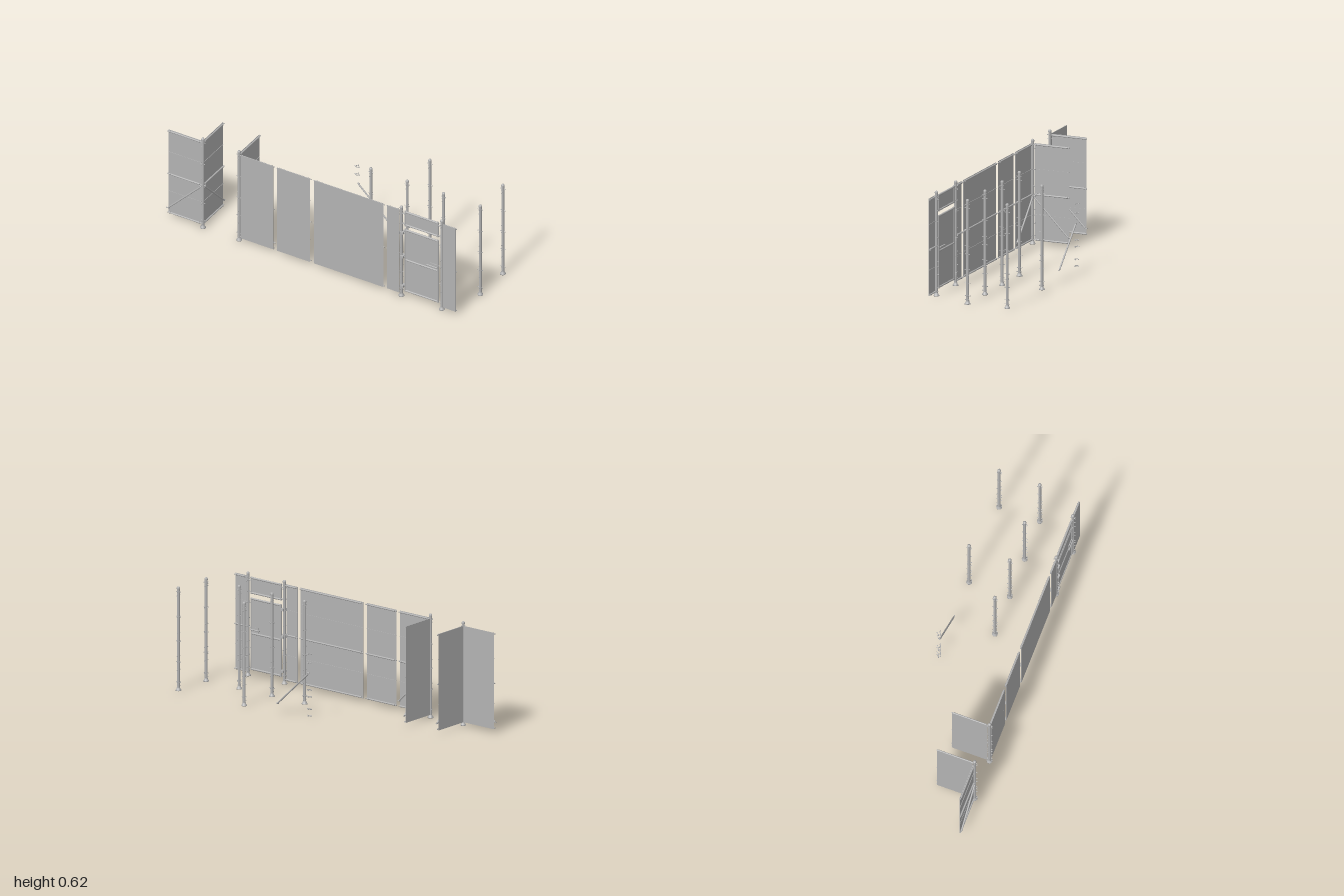
import * as THREE from 'three';

export function createModel() {
  const model = new THREE.Group();
  model.name = 'fenceKit';
  const steel = new THREE.MeshStandardMaterial({ color: 0xb3b3b3 });
  steel.name = 'galvanised grey';

  function add(parent, name, geometry, x = 0, y = 0, z = 0) {
    const mesh = new THREE.Mesh(geometry, steel);
    mesh.name = name;
    mesh.position.set(x, y, z);
    parent.add(mesh);
    return mesh;
  }
  const box = (parent, name, w, h, d, x, y, z) =>
    add(parent, name, new THREE.BoxGeometry(w, h, d), x, y, z);

  // Round bar between two points
  function bar(parent, name, a, b, r) {
    const start = new THREE.Vector3(...a), end = new THREE.Vector3(...b);
    const dir = end.clone().sub(start);
    const mesh = add(parent, name, new THREE.CylinderGeometry(r, r, dir.length(), 12));
    mesh.position.copy(start).add(end).multiplyScalar(0.5);
    mesh.quaternion.setFromUnitVectors(new THREE.Vector3(0, 1, 0), dir.normalize());
    return mesh;
  }
  function group(name, x, y, z) {
    const g = new THREE.Group();
    g.name = name;
    g.position.set(x, y, z);
    model.add(g);
    return g;
  }

  // Post with flared foot, domed cap and coupling pegs
  const postProfile = [
    [0, 0], [0.017, 0], [0.017, 0.004], [0.012, 0.01], [0.0095, 0.018], [0.0085, 0.019],
    [0.0085, 0.608], [0.0098, 0.609], [0.0098, 0.616], [0.007, 0.622], [0, 0.624],
  ].map(([r, y]) => new THREE.Vector2(r, y));
  const postGeometry = new THREE.LatheGeometry(postProfile, 20);
  const pegHeights = [0.026, 0.05, 0.125, 0.172, 0.205, 0.296, 0.345, 0.443, 0.57, 0.592];
  function post(x, z) {
    const g = group('post', x, 0, z);
    add(g, 'postTube', postGeometry);
    pegHeights.forEach((y, i) => {
      const r = 0.0022, l = 0.017;
      if (i % 2) bar(g, 'peg', [-l, y, 0], [l, y, 0], r);
      bar(g, 'peg', [0, y, i % 3 ? -l : -0.012], [0, y, l], r);
    });
  }
  [[-0.745, 0.245], [-0.5, 0.245], [0.595, 0.245], [0.868, 0.245],
    [0.24, 0], [0.485, 0], [0.73, 0], [0.978, 0], [0.485, -0.25], [0.978, -0.25],
  ].forEach(([x, z]) => post(x, z));

  // Diagonal brace with a small coupler at each end
  function brace(parent, x0, x1, z) {
    bar(parent, 'brace', [x0, 0.28, z], [x1, 0.062, z], 0.0048);
    bar(parent, 'braceCoupler', [x0 - 0.006, 0.285, z], [x0 + 0.006, 0.285, z], 0.004);
    bar(parent, 'braceCoupler', [x1 - 0.006, 0.06, z], [x1 + 0.012, 0.06, z], 0.003);
  }

  // Sheet bay running along local x, rails on the given side of the sheet
  function bay(x, z, length, turn, side, braced = false) {
    const g = group('sheetBay', x, 0, z);
    g.rotation.y = turn;
    box(g, 'sheet', length, 0.578, 0.002, length / 2, 0.309, -side * 0.005);
    for (const y of [0.027, 0.295, 0.591]) {
      bar(g, 'rail', [-0.004, y, 0], [length + 0.004, y, 0], 0.0035);
      bar(g, 'railSleeve', [0.01, y, 0], [length - 0.01, y, 0], 0.005);
      for (const e of [0.013, length - 0.013])
        bar(g, 'railCollar', [e - 0.004, y, 0], [e + 0.004, y, 0], 0.0062);
    }
    for (const y of [0.173, 0.445])
      box(g, 'sheetRib', length, 0.0025, 0.003, length / 2, y, -side * 0.003);
    if (braced) brace(g, 0.002, length - 0.004, side * 0.006);
  }
  bay(-0.757, 0.245, 0.222, Math.PI, -1, true);
  bay(-0.745, 0.234, 0.219, Math.PI / 2, 1, true);
  bay(-0.5, 0.234, 0.219, Math.PI / 2, 1, true);
  bay(-0.489, 0.245, 0.222, 0, -1, true);
  bay(-0.241, 0.245, 0.222, 0, -1);
  bay(0.008, 0.245, 0.468, 0, -1);
  bay(0.5, 0.245, 0.083, 0, -1);
  bay(0.88, 0.245, 0.085, 0, -1);

  // Framed panel of the gate and its header
  function framed(name, x0, x1, y0, y1) {
    const g = group(name, 0, 0, 0.245), r = 0.006;
    box(g, 'gateSheet', x1 - x0, y1 - y0, 0.002, (x0 + x1) / 2, (y0 + y1) / 2, 0);
    for (const x of [x0, x1]) bar(g, 'frameUpright', [x, y0 - r, 0], [x, y1 + r, 0], r);
    for (const y of [y0, y1]) bar(g, 'frameRail', [x0, y, 0], [x1, y, 0], r);
    return g;
  }
  const header = framed('gateHeader', 0.622, 0.842, 0.502, 0.591);
  const gate = framed('gate', 0.622, 0.842, 0.045, 0.466);
  bar(gate, 'gateMidRail', [0.622, 0.259, 0], [0.842, 0.259, 0], 0.006);

  // Hinges, header couplers and latch
  for (const y of [0.075, 0.28, 0.445]) {
    box(gate, 'hinge', 0.022, 0.014, 0.03, 0.604, y, 0.002);
    bar(gate, 'hingePin', [0.6, y, 0], [0.624, y, 0], 0.004);
  }
  for (const y of [0.507, 0.576]) {
    bar(header, 'headerCoupler', [0.595, y, 0], [0.622, y, 0], 0.004);
    bar(header, 'headerCoupler', [0.842, y, 0], [0.868, y, 0], 0.004);
    for (const x of [0.595, 0.868])
      bar(header, 'headerPin', [x, y, -0.012], [x, y, 0.015], 0.003);
  }
  box(gate, 'latchPlate', 0.05, 0.032, 0.008, 0.815, 0.284, 0.002);
  for (const z of [-0.011, 0.011])
    bar(gate, 'latchHandle', [0.772, 0.284, z], [0.842, 0.284, z], 0.004);
  bar(gate, 'latchBolt', [0.835, 0.295, 0], [0.87, 0.295, 0], 0.003);

  // Loose brace with a column of loose couplers
  const spare = group('spareBrace', 0, 0, -0.25);
  brace(spare, 0.004, 0.234, 0);
  for (const y of [0.03, 0.07, 0.145, 0.185, 0.345, 0.4]) {
    const ring = add(spare, 'looseCoupler', new THREE.TorusGeometry(0.009, 0.002, 6, 14, Math.PI * 1.3), -0.006, y, 0);
    ring.rotation.x = Math.PI / 2;
    bar(spare, 'couplerPeg', [-0.022, y, 0], [-0.012, y, 0], 0.0025);
    bar(spare, 'couplerPeg', [0.001, y, 0], [0.013, y, 0], 0.0025);
    bar(spare, 'couplerPeg', [-0.006, y, -0.017], [-0.006, y, -0.008], 0.0025);
  }
  return model;
}
